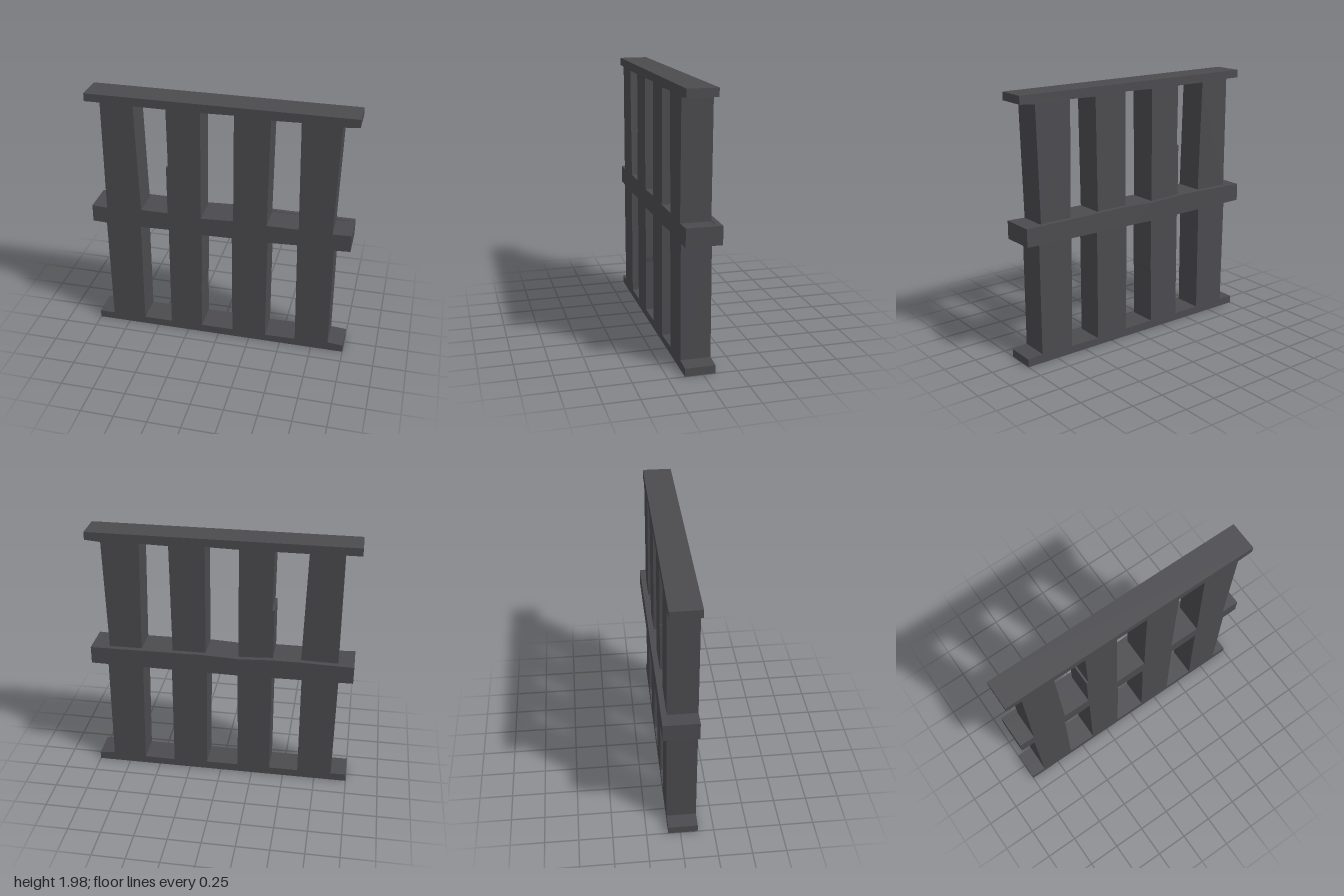
import * as THREE from 'three';

const BACK = -0.09, FRONT = 0.13, RAIL_BACK = -0.13;

const toPoints = (list) => list.map(([x, y]) => new THREE.Vector2(x, y));

// Extrude an outline (with optional holes) between two depths
function slab(name, outline, holes, z0, z1, material) {
  const shape = new THREE.Shape(toPoints(outline));
  shape.holes = holes.map((h) => new THREE.Path(toPoints(h)));
  const geometry = new THREE.ExtrudeGeometry(shape, { depth: z1 - z0, bevelEnabled: false });
  geometry.translate(0, 0, z0);
  const mesh = new THREE.Mesh(geometry, material);
  mesh.name = name;
  return mesh;
}

export function createModel() {
  const model = new THREE.Group();
  model.name = 'slattedPanel';
  const darkWood = new THREE.MeshStandardMaterial({ color: 0x4b4a4e });
  darkWood.name = 'charcoal wood';

  // Slats and three rails, with rail ends sticking out at the sides
  const outline = [
    [-1, 0], [1, 0], [1, 0.06], [0.88, 0.07],
    [0.88, 0.92], [1, 0.925], [1, 1.06], [0.86, 1.055],
    [0.88, 1.91], [1, 1.92], [1, 1.98], [-1, 1.98],
    [-1, 1.92], [-0.88, 1.92], [-0.88, 1.05], [-1, 1.055],
    [-1, 0.92], [-0.89, 0.915], [-0.88, 0.06], [-1, 0.06],
  ];

  // Slightly crooked gaps between the slats
  const upperGaps = [
    [[-0.605, 1.065], [-0.395, 1.065], [-0.395, 1.455], [-0.38, 1.455], [-0.385, 1.915], [-0.63, 1.915]],
    [[-0.135, 1.053], [0.115, 1.065], [0.115, 1.92], [-0.13, 1.915]],
    [[0.37, 1.06], [0.61, 1.06], [0.595, 1.915], [0.38, 1.91]],
  ];
  const lowerGaps = [
    [[-0.615, 0.06], [-0.39, 0.06], [-0.39, 0.92], [-0.615, 0.915]],
    [[-0.135, 0.063], [0.115, 0.063], [0.105, 0.915], [-0.13, 0.91], [-0.13, 0.5], [-0.135, 0.46]],
    [[0.38, 0.055], [0.62, 0.06], [0.605, 0.925], [0.38, 0.915]],
  ];
  model.add(slab('slatsAndRails', outline, [...upperGaps, ...lowerGaps], BACK, FRONT, darkWood));

  // Thicker back of the middle rail
  const railOutline = [
    [-1, 0.92], [-0.13, 0.912], [0.105, 0.915], [1, 0.925],
    [1, 1.06], [0.115, 1.065], [-0.135, 1.053], [-0.395, 1.065], [-0.605, 1.065], [-1, 1.055],
  ];
  model.add(slab('middleRailBack', railOutline, [], RAIL_BACK, BACK, darkWood));

  return model;
}
